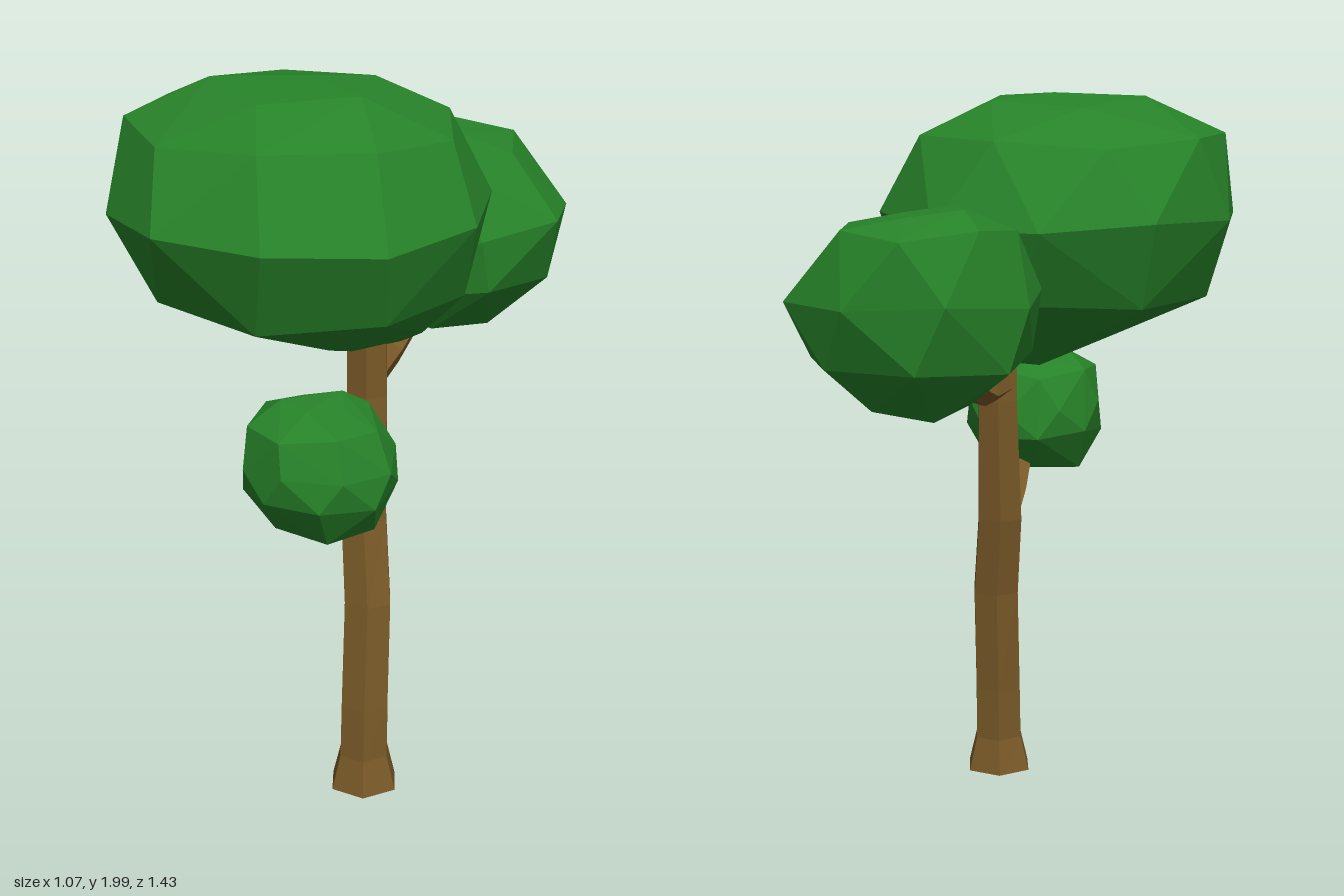
import * as THREE from 'three';
import { ConvexGeometry } from 'three/addons/geometries/ConvexGeometry.js';

const bark = new THREE.MeshStandardMaterial({ color: 0x7a5a28, flatShading: true });
const leaf = new THREE.MeshStandardMaterial({ color: 0x278329, flatShading: true });

// Six-sided limb through sections [x, y, z, radiusX, radiusZ, tilt towards +z], bottom to top
function limb(name, sections) {
  const n = sections.length - 1;
  const geo = new THREE.CylinderGeometry(1, 1, 1, 6, n, false, Math.PI / 12);
  const pos = geo.attributes.position;
  const v = new THREE.Vector3();
  const axis = new THREE.Vector3(1, 0, 0);
  for (let i = 0; i < pos.count; i++) {
    v.fromBufferAttribute(pos, i);
    const [x, y, z, rx, rz, tilt] = sections[Math.round((v.y + 0.5) * n)];
    v.set(v.x * rx, 0, v.z * rz).applyAxisAngle(axis, tilt);
    pos.setXYZ(i, v.x + x, v.y + y, v.z + z);
  }
  geo.computeVertexNormals();
  const mesh = new THREE.Mesh(geo, bark);
  mesh.name = name;
  return mesh;
}

// Faceted foliage: hull around rings [y, centreX, centreZ, radiusX, radiusZ, corners, phase]
function foliage(name, rings) {
  const points = [];
  for (const [y, cx, cz, rx, rz, n, phase] of rings) {
    for (let i = 0; i < n; i++) {
      const a = phase + (i / n) * Math.PI * 2;
      points.push(new THREE.Vector3(cx + Math.cos(a) * rx, y + 0.012 * Math.sin(3 * a + y * 9), cz + Math.sin(a) * rz));
    }
  }
  const mesh = new THREE.Mesh(new ConvexGeometry(points), leaf);
  mesh.name = name;
  return mesh;
}

export function createModel() {
  const tree = new THREE.Group();
  tree.name = 'tree';

  // Leaning trunk with a flared foot
  tree.add(limb('trunk', [
    [0.14, 0, 0.253, 0.1, 0.1, 0],
    [0.14, 0.1, 0.252, 0.074, 0.076, 0],
    [0.14, 0.25, 0.245, 0.073, 0.074, 0],
    [0.138, 0.55, 0.215, 0.072, 0.068, 0],
    [0.116, 0.78, 0.177, 0.07, 0.068, 0],
    [0.114, 1.13, 0.145, 0.062, 0.062, 0],
    [0.114, 1.36, 0.15, 0.06, 0.06, 0],
  ]));

  // Branch reaching forward to the small foliage
  tree.add(limb('frontBranch', [
    [0.115, 0.8, 0.17, 0.065, 0.045, 1.05],
    [0.113, 0.84, 0.25, 0.06, 0.04, 1.08],
    [0.105, 0.9, 0.38, 0.035, 0.025, 1.08],
    [0.1, 0.97, 0.46, 0.03, 0.022, 0.8],
  ]));

  // Branch reaching back, then bending up into the rear foliage
  tree.add(limb('backBranch', [
    [0.114, 1.18, 0.14, 0.055, 0.045, -1.5],
    [0.116, 1.183, -0.03, 0.05, 0.042, -1.3],
    [0.15, 1.25, -0.18, 0.04, 0.036, -1.05],
    [0.17, 1.34, -0.28, 0.035, 0.03, -0.9],
  ]));

  tree.add(foliage('mainFoliage', [
    [2.0, -0.04, 0.18, 0, 0, 1, 0],
    [1.97, -0.06, 0.2, 0.23, 0.21, 5, 0.5],
    [1.875, -0.075, 0.2, 0.44, 0.39, 9, 0.1],
    [1.66, -0.05, 0.205, 0.505, 0.515, 10, 0.2],
    [1.44, -0.04, 0.2, 0.43, 0.42, 8, 0],
    [1.34, 0.03, 0.16, 0.27, 0.26, 6, 0.3],
    [1.27, 0.06, 0.08, 0.13, 0.17, 5, 0],
  ]));

  tree.add(foliage('rearFoliage', [
    [1.725, 0.13, -0.46, 0.1, 0.12, 4, 0.4],
    [1.68, 0.16, -0.42, 0.23, 0.28, 7, 0.2],
    [1.5, 0.2, -0.405, 0.345, 0.32, 8, 0.3],
    [1.33, 0.19, -0.385, 0.3, 0.3, 7, 0],
    [1.2, 0.2, -0.38, 0.14, 0.18, 5, 0.3],
  ]));

  tree.add(foliage('smallFoliage', [
    [1.215, 0.07, 0.47, 0.09, 0.08, 5, 0.3],
    [1.17, 0.07, 0.49, 0.17, 0.18, 7, 0],
    [1.07, 0.085, 0.485, 0.205, 0.205, 8, 0.2],
    [0.99, 0.085, 0.48, 0.2, 0.205, 8, 0.5],
    [0.885, 0.09, 0.48, 0.15, 0.12, 6, 0.2],
  ]));

  return tree;
}
